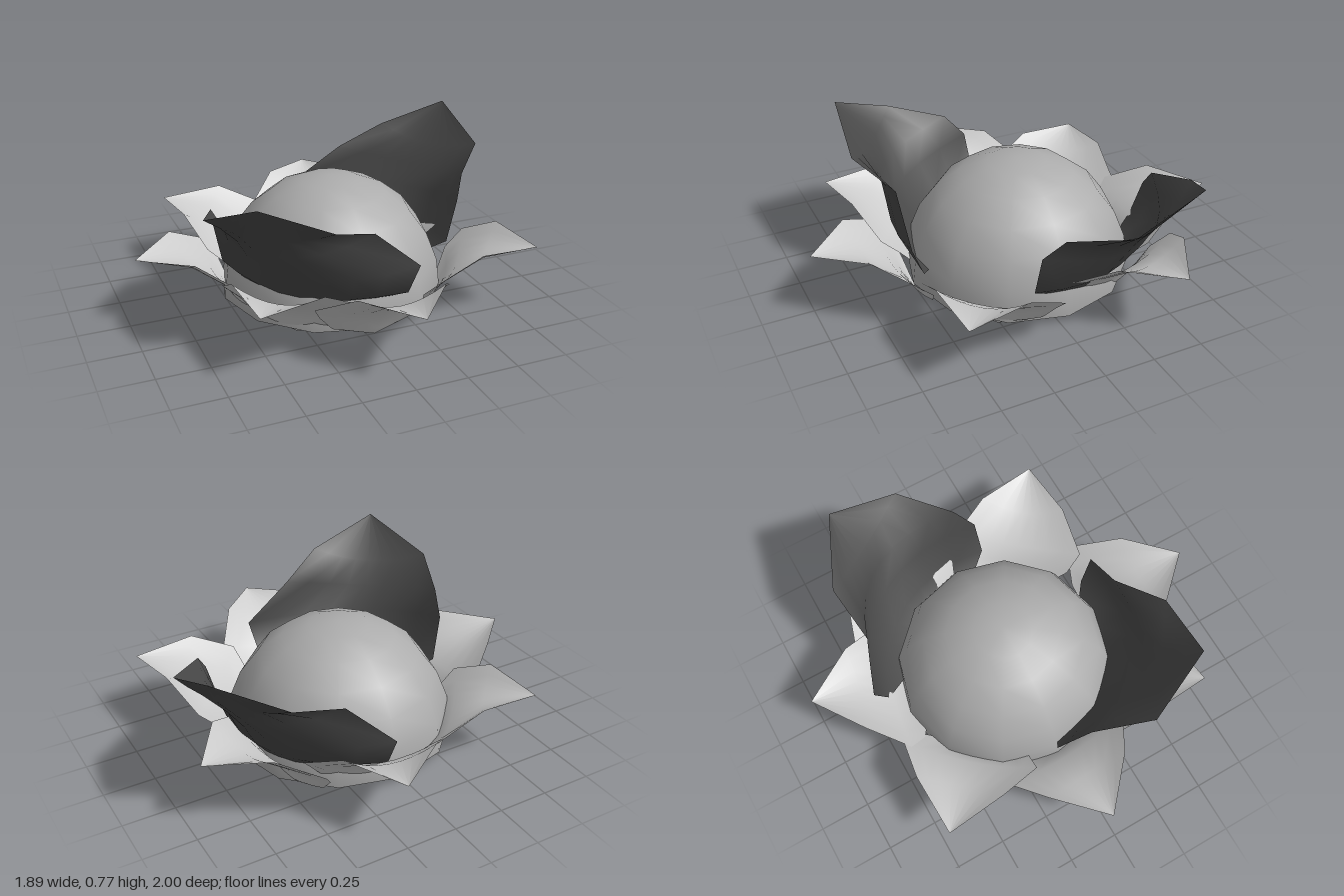
import * as THREE from 'three';

const CX = 0.037, CZ = -0.045; // flower axis

// Rows run from base tip to outer tip:
// [centre radius, centre height, edge radius, edge height, half width, sideways offset, edge tilt, edge skew]
const LOWER = [
  [0.50, 0.0, 0.50, 0.0, 0.0, 0, 0, 0],
  [0.53, 0.045, 0.495, 0.065, 0.21, 0, 0, 0],
  [0.56, 0.10, 0.515, 0.145, 0.28, 0, 0, 0],
  [0.615, 0.175, 0.59, 0.235, 0.335, 0, 0, 0],
  [0.76, 0.275, 0.775, 0.35, 0.212, 0, 0, 0],
  [1.0, 0.33, 1.0, 0.33, 0.0, 0, 0, 0],
];
const UPPER = [
  [0.34, 0.0, 0.34, 0.0, 0.0, 0, 0, 0],
  [0.44, 0.09, 0.33, 0.10, 0.24, 0, 0, 0],
  [0.53, 0.20, 0.335, 0.21, 0.46, -0.03, 0.02, 0.02],
  [0.62, 0.34, 0.375, 0.40, 0.50, -0.05, 0.05, 0.03],
  [0.69, 0.46, 0.49, 0.55, 0.39, 0.02, 0.01, 0.01],
  [0.76, 0.57, 0.755, 0.63, 0.295, 0.02, 0, 0.022],
  [0.925, 0.775, 0.925, 0.775, 0.0, 0, 0, 0],
];

// Cupped petal lofted through its rows, pointing along angle (0 = +x, 90 = +z)
// and moved outward by shift and sideways by slide
function petalGeometry(rows, angle, shift, slide, heightScale = 1) {
  const cols = 8, w = cols + 1, last = rows.length - 2, pos = [], idx = [];
  const a = THREE.MathUtils.degToRad(angle), c = Math.cos(a), s = Math.sin(a);
  for (const [rc, yc, re, ye, halfWidth, offset, tilt, skew] of rows) {
    for (let j = 0; j <= cols; j++) {
      const u = (j / cols) * 2 - 1;
      const r = THREE.MathUtils.lerp(rc, re, u * u) + skew * u + shift;
      const y = THREE.MathUtils.lerp(yc, ye, u * u) + tilt * u;
      const t = halfWidth * u + offset + slide;
      pos.push(CX + r * c - t * s, y * heightScale, CZ + r * s + t * c);
    }
  }
  for (let i = 0; i <= last; i++) {
    for (let j = 0; j < cols; j++) {
      const p = i * w + j, q = p + w;
      if (i > 0) idx.push(p, p + 1, q + 1);
      if (i < last) idx.push(p, q + 1, q);
    }
  }
  const g = new THREE.BufferGeometry();
  g.setAttribute('position', new THREE.Float32BufferAttribute(pos, 3));
  g.setIndex(idx);
  g.computeVertexNormals();
  return g;
}

export function createModel() {
  const model = new THREE.Group();
  model.name = 'flower';
  const petalMat = new THREE.MeshStandardMaterial({ color: 0xcccccc, side: THREE.DoubleSide });
  const domeMat = new THREE.MeshStandardMaterial({ color: 0xacacac, side: THREE.DoubleSide });
  const darkMat = new THREE.MeshStandardMaterial({ color: 0x484848, side: THREE.DoubleSide });

  const add = (name, geometry, material) => {
    const mesh = new THREE.Mesh(geometry, material);
    mesh.name = name;
    model.add(mesh);
  };

  // Open-bottomed dome in the middle
  const dome = new THREE.SphereGeometry(0.557, 12, 6, 0, Math.PI * 2, 0, Math.PI / 2);
  dome.scale(1, 0.57 / 0.557, 1).translate(CX, 0.03, CZ);
  add('dome', dome, domeMat);

  // Ring of low petals: [direction, outward shift, sideways slide]
  [
    [38.8, 0.02, -0.028], [90, 0.045, 0], [128.5, 0.005, 0.01], [178, -0.01, 0],
    [221.5, -0.046, 0.055], [283, -0.02, 0], [346.4, -0.03, -0.178],
  ].forEach(([angle, shift, slide], i) =>
    add(`lowerPetal${i + 1}`, petalGeometry(LOWER, angle, shift, slide), petalMat));

  // Two tall raised petals on opposite sides: [direction, outward shift, height scale]
  [[-28, 0.055, 0.967], [131, 0, 1]]
    .forEach(([angle, shift, h], i) => add(`upperPetal${i + 1}`, petalGeometry(UPPER, angle, shift, 0, h), darkMat));

  return model;
}
